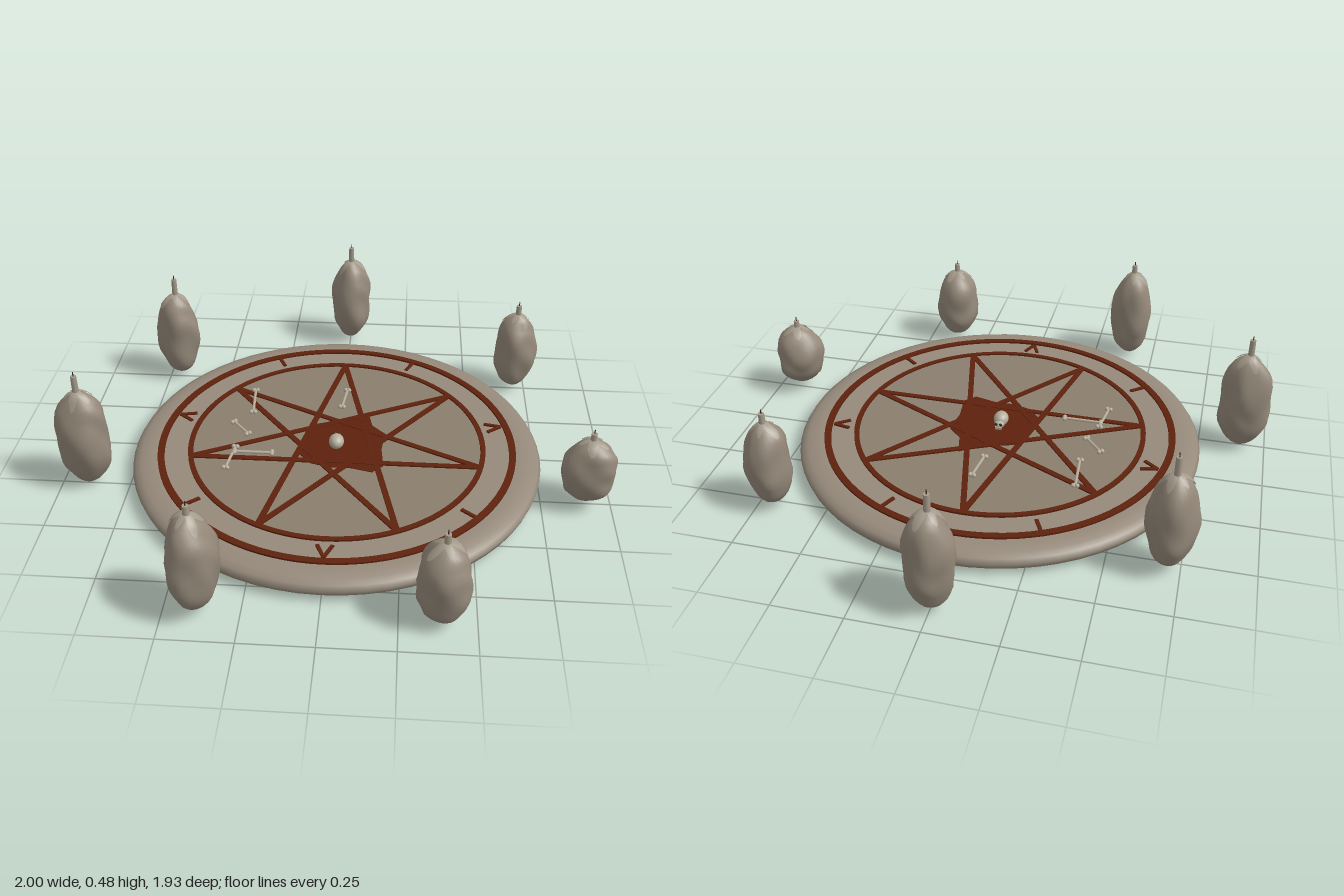
import * as THREE from 'three';
import { mergeVertices } from 'three/addons/utils/BufferGeometryUtils.js';

const CZ = 0.045;   // z of the altar's centre
const TOP = 0.077;  // height of the altar's top

const mat = (name, color) => {
  const m = new THREE.MeshStandardMaterial({ color });
  m.name = name;
  return m;
};

// Barrel-like boulder surface for a unit direction, with gentle lumps
function boulderPoint(d, seed, lift = 0) {
  const lump = Math.sin(4.1 * d.x + seed) + Math.sin(4.7 * d.z + 2.3 * seed)
    + 0.8 * Math.sin(5.5 * d.y + 3 * d.x + 1.7 * seed)
    + 0.6 * Math.sin(9 * d.z - 7 * d.y + 5 * d.x + seed);
  const flat = Math.hypot(d.x, d.z) || 1;
  const w = Math.pow(Math.max(0, 1 - Math.pow(Math.abs(d.y), 2.6)), 0.6) * (1 + 0.055 * lump) + lift * flat;
  const tall = d.y * (1 + 0.015 * lump * (1 - d.y * d.y)) + lift * 0.5 * Math.max(0, d.y);
  return new THREE.Vector3(d.x / flat * w, tall, d.z / flat * w);
}

function mapSphere(geo, rule) {
  const p = geo.attributes.position;
  const d = new THREE.Vector3();
  for (let i = 0; i < p.count; i++) {
    const q = rule(d.fromBufferAttribute(p, i).normalize());
    p.setXYZ(i, q.x, q.y, q.z);
  }
  geo.deleteAttribute('uv');
  geo.deleteAttribute('normal');
  return mergeVertices(geo, 1e-5);
}

export function createModel() {
  const stone = mat('stone', 0x95897a);
  const floor = mat('worn stone', 0x8a7e6e);
  const blood = mat('dried blood', 0x5e220c);
  const wax = mat('wax', 0xa39a8a);
  const bone = mat('bone', 0xb5ad9c);
  const dark = mat('soot', 0x352e27);

  const model = new THREE.Group();
  const add = (parent, name, geo, material, x = 0, y = 0, z = 0) => {
    const m = new THREE.Mesh(geo, material);
    m.name = name;
    m.position.set(x, y, z);
    parent.add(m);
    return m;
  };

  // Round altar slab with a soft rim
  const altar = new THREE.Group();
  altar.name = 'altar';
  altar.position.z = CZ;
  model.add(altar);
  const profile = [[0, 0], [0.67, 0], [0.69, 0.001], [0.735, 0.01], [0.757, 0.026], [0.763, 0.045],
    [0.752, 0.062], [0.73, 0.072], [0.7, 0.0765], [0.68, TOP], [0, TOP]];
  add(altar, 'slab', new THREE.LatheGeometry(profile.map(([r, y]) => new THREE.Vector2(r, y)), 64), stone);
  add(altar, 'slabFloor', new THREE.CylinderGeometry(0.55, 0.55, 0.002, 64), floor, 0, TOP);

  // Painted signs: two circles, a seven-pointed star and marks between
  const signs = new THREE.Group();
  signs.name = 'paintedSigns';
  altar.add(signs);
  const flatShape = (name, shape, depth) => {
    const geo = new THREE.ExtrudeGeometry(shape, { depth, bevelEnabled: false, curveSegments: 48 });
    add(signs, name, geo.rotateX(-Math.PI / 2), blood, 0, TOP, 0);
  };
  for (const [name, outer, inner] of [['outerCircle', 0.67, 0.645], ['innerCircle', 0.558, 0.539]]) {
    const shape = new THREE.Shape().absarc(0, 0, outer, 0, Math.PI * 2);
    shape.holes.push(new THREE.Path().absarc(0, 0, inner, 0, Math.PI * 2));
    flatShape(name, shape, 0.007);
  }
  const stroke = (name, a, b, width) => {
    const geo = new THREE.BoxGeometry(a.distanceTo(b), 0.007, width);
    const m = add(signs, name, geo, blood, (a.x + b.x) / 2, TOP + 0.003, (a.y + b.y) / 2);
    m.rotation.y = -Math.atan2(b.y - a.y, b.x - a.x);
  };
  // Angle 0 points to the back; the second coordinate is z
  const polar = (angle, r) => new THREE.Vector2(Math.sin(angle) * r, -Math.cos(angle) * r);
  const step = Math.PI * 2 / 7;
  for (let i = 0; i < 7; i++) {
    stroke('starLine', polar(i * step, 0.545), polar((i + 3) * step, 0.545), 0.021);
    const mid = (i + 0.5) * step;
    if (i === 1 || i === 3 || i === 5) {
      for (const s of [-1, 1]) stroke('vMark', polar(mid, 0.638), polar(mid + s * 0.045, 0.58), 0.012);
    } else {
      stroke('tickMark', polar(mid, 0.65), polar(mid, 0.585), 0.013);
    }
  }

  // Pool of blood in the middle
  const pool = [[0.11, 0.16], [0.13, 0.07], [0.18, 0.02], [0.17, -0.08], [0.18, -0.18], [0.14, -0.22],
    [0.06, -0.2], [-0.02, -0.2], [-0.09, -0.18], [-0.15, -0.11], [-0.12, 0], [-0.11, 0.06], [-0.05, 0.08], [0.03, 0.1]];
  flatShape('bloodPool', new THREE.Shape(pool.map(([x, y]) => new THREE.Vector2(x, y + CZ))), 0.004);

  // Skull facing the back
  const skull = new THREE.Group();
  skull.name = 'skull';
  skull.position.set(0, TOP, 0);
  model.add(skull);
  add(skull, 'cranium', new THREE.SphereGeometry(0.03, 18, 14), bone, 0, 0.022, 0.065).scale.set(0.95, 0.9, 1.15);
  add(skull, 'face', new THREE.SphereGeometry(0.021, 14, 10), bone, 0, 0.015, 0.036).scale.set(0.95, 0.75, 1);
  add(skull, 'jaw', new THREE.BoxGeometry(0.024, 0.012, 0.022), bone, 0, 0.008, 0.022);
  for (const s of [-1, 1]) {
    add(skull, 'eyeSocket', new THREE.SphereGeometry(0.0065, 10, 8), dark, s * 0.009, 0.022, 0.019).scale.z = 0.5;
  }

  // Scattered bones with a pair of knobs at each end
  const bones = [[0.02, -0.3, 0.005, -0.18], [-0.35, -0.275, -0.34, -0.12], [-0.405, -0.05, -0.34, 0.025],
    [-0.375, 0.11, -0.393, 0.24], [-0.375, 0.14, -0.235, 0.14]];
  for (const [x1, z1, x2, z2] of bones) {
    const g = new THREE.Group();
    g.name = 'longBone';
    g.position.set((x1 + x2) / 2, TOP + 0.012, (z1 + z2) / 2);
    g.rotation.y = -Math.atan2(z2 - z1, x2 - x1);
    const len = Math.hypot(x2 - x1, z2 - z1);
    add(g, 'shaft', new THREE.CylinderGeometry(0.0055, 0.0055, len, 8).rotateZ(Math.PI / 2), bone);
    for (const end of [-1, 1]) for (const side of [-1, 1]) {
      add(g, 'knob', new THREE.SphereGeometry(0.009, 8, 6), bone, end * len / 2, 0, side * 0.007);
    }
    model.add(g);
  }

  // Ring of boulders: minX, maxX, minZ, maxZ, bottom, top, candle top
  const boulders = [
    [-0.086, 0.086, -0.97, -0.78, 0.01, 0.38, 0.46],
    [0.615, 0.79, -0.6, -0.43, 0.015, 0.345, 0.40],
    [0.802, 0.997, 0.166, 0.332, 0.03, 0.285, 0.328],
    [0.3, 0.476, 0.754, 0.946, 0.01, 0.315, 0.366],
    [-0.48, -0.305, 0.77, 0.96, 0.01, 0.39, 0.44],
    [-1, -0.807, 0.166, 0.332, 0.01, 0.40, 0.48],
    [-0.797, -0.615, -0.61, -0.444, 0.015, 0.38, 0.465],
  ];
  boulders.forEach(([x0, x1, z0, z1, y0, y1, candleTop], i) => {
    const seed = 1.3 + i * 2.1;
    const g = new THREE.Group();
    g.name = 'candleBoulder';
    model.add(g);
    const rock = mapSphere(new THREE.SphereGeometry(1, 26, 22), d => boulderPoint(d, seed));

    // Wax running down in lobes over the crown
    const melt = mapSphere(new THREE.SphereGeometry(1, 36, 14, 0, Math.PI * 2, 0, Math.PI / 2), d => {
      const a = Math.atan2(d.z, d.x);
      const reach = 0.48 + 0.2 * Math.sin(5 * a + seed) + 0.12 * Math.sin(2 * a + 2 * seed);
      const t = Math.acos(Math.min(1, d.y)) / (Math.PI / 2) * reach;
      return boulderPoint(new THREE.Vector3(Math.cos(a) * Math.sin(t), Math.cos(t), Math.sin(a) * Math.sin(t)), seed, 0.05);
    });

    // Fit both to the boulder's place
    rock.computeBoundingBox();
    const { min, max } = rock.boundingBox;
    const s = [(x1 - x0) / (max.x - min.x), (y1 - y0) / (max.y - min.y), (z1 - z0) / (max.z - min.z)];
    const at = [x0 - min.x * s[0], y0 - min.y * s[1], z0 - min.z * s[2]];
    for (const geo of [rock, melt]) {
      geo.scale(...s).translate(...at);
      geo.computeVertexNormals();
    }
    add(g, 'boulder', rock, stone);
    add(g, 'meltedWax', melt, wax).material.side = THREE.DoubleSide;

    // Candle with its wick
    const base = y1 - 0.015;
    const bodyTop = candleTop - 0.016;
    add(g, 'candle', new THREE.CylinderGeometry(0.0105, 0.012, bodyTop - base, 12), wax, at[0], (base + bodyTop) / 2, at[2]);
    add(g, 'wick', new THREE.CylinderGeometry(0.002, 0.002, 0.018, 6), dark, at[0], candleTop - 0.009, at[2]);
  });

  return model;
}
